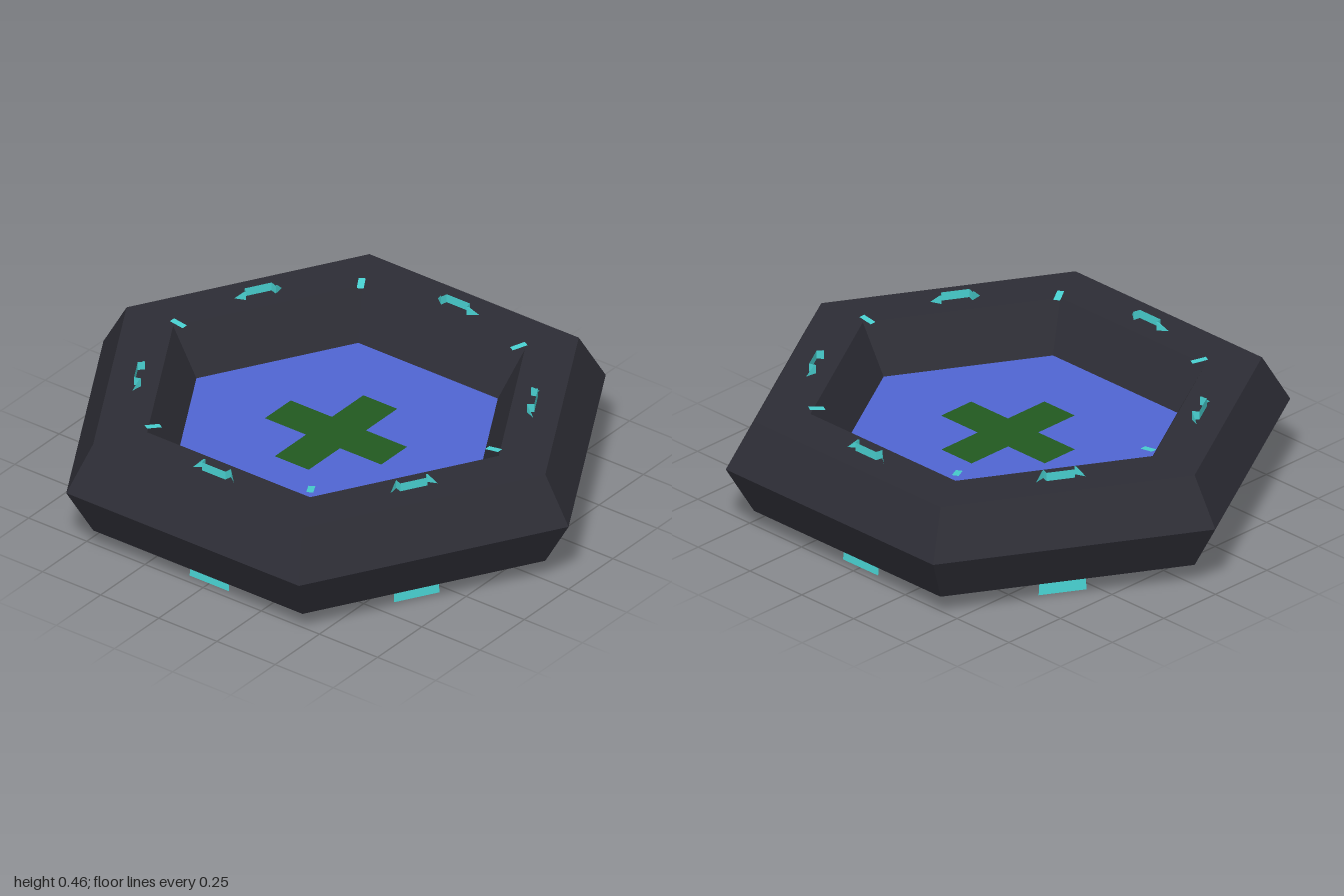
import * as THREE from 'three';

const make = (name, color, extra = {}) => {
  const m = new THREE.MeshStandardMaterial({ color, ...extra });
  m.name = name;
  return m;
};

// Ribbon of flat quads between a lower and an upper path
function ribbon(lower, upper) {
  const pos = [];
  for (let i = 0; i < lower.length - 1; i++) {
    pos.push(...lower[i], ...lower[i + 1], ...upper[i + 1]);
    pos.push(...lower[i], ...upper[i + 1], ...upper[i]);
  }
  const g = new THREE.BufferGeometry();
  g.setAttribute('position', new THREE.Float32BufferAttribute(pos, 3));
  g.computeVertexNormals();
  return g;
}

export function createModel() {
  const model = new THREE.Group();
  const dark = make('charcoal', 0x2d2d35, { flatShading: true });
  const blue = make('blue', 0x5065d2, { side: THREE.DoubleSide });
  const green = make('green', 0x225a20, { side: THREE.DoubleSide });
  const teal = make('teal', 0x48d0d0, { side: THREE.DoubleSide, flatShading: true });

  const add = (parent, name, geometry, material) => {
    const mesh = new THREE.Mesh(geometry, material);
    mesh.name = name;
    parent.add(mesh);
    return mesh;
  };

  // Hexagonal ring with a hexagonal section
  add(model, 'ring', new THREE.TorusGeometry(0.8, 0.2, 6, 6).rotateX(-Math.PI / 2), dark)
    .position.y = 0.25;

  // Floor of the ring
  add(model, 'floor', new THREE.CircleGeometry(0.6, 6).rotateX(-Math.PI / 2), blue)
    .position.y = 0.25;

  // Flat cross on the floor
  const w = 0.073, l = 0.25;
  const cross = new THREE.Shape([
    [-w, -l], [w, -l], [w, -w], [l, -w], [l, w], [w, w],
    [w, l], [-w, l], [-w, w], [-l, w], [-l, -w], [-w, -w],
  ].map(([x, y]) => new THREE.Vector2(x, y)));
  add(model, 'cross', new THREE.ShapeGeometry(cross).rotateX(-Math.PI / 2), green)
    .position.y = 0.256;

  // Folded clip standing out of the top, and a foot plate below
  const clipGeo = ribbon(
    [[-0.1, 0.41, 0.7], [-0.055, 0.41, 0.665], [-0.05, 0.41, 0.69],
      [0.05, 0.41, 0.69], [0.055, 0.41, 0.665], [0.1, 0.41, 0.7]],
    [[-0.06, 0.455, 0.67], [-0.055, 0.455, 0.665], [-0.05, 0.455, 0.69],
      [0.05, 0.455, 0.69], [0.055, 0.455, 0.665], [0.06, 0.455, 0.67]],
  );
  const footGeo = ribbon(
    [[-0.085, 0, 0.715], [0.085, 0, 0.715]],
    [[-0.08, 0.1, 0.705], [0.08, 0.1, 0.705]],
  );
  // Small tab above each inner corner
  const tabGeo = ribbon(
    [[-0.012, 0.438, 0.65], [0.012, 0.438, 0.65]],
    [[-0.012, 0.446, 0.705], [0.012, 0.446, 0.705]],
  );

  for (let i = 0; i < 6; i++) {
    const side = new THREE.Group();
    side.name = 'clipSide' + (i + 1);
    side.rotation.y = i * Math.PI / 3;
    add(side, 'clip', clipGeo, teal);
    add(side, 'foot', footGeo, teal);
    add(side, 'cornerTab', tabGeo, teal).rotation.y = Math.PI / 6;
    model.add(side);
  }
  return model;
}
